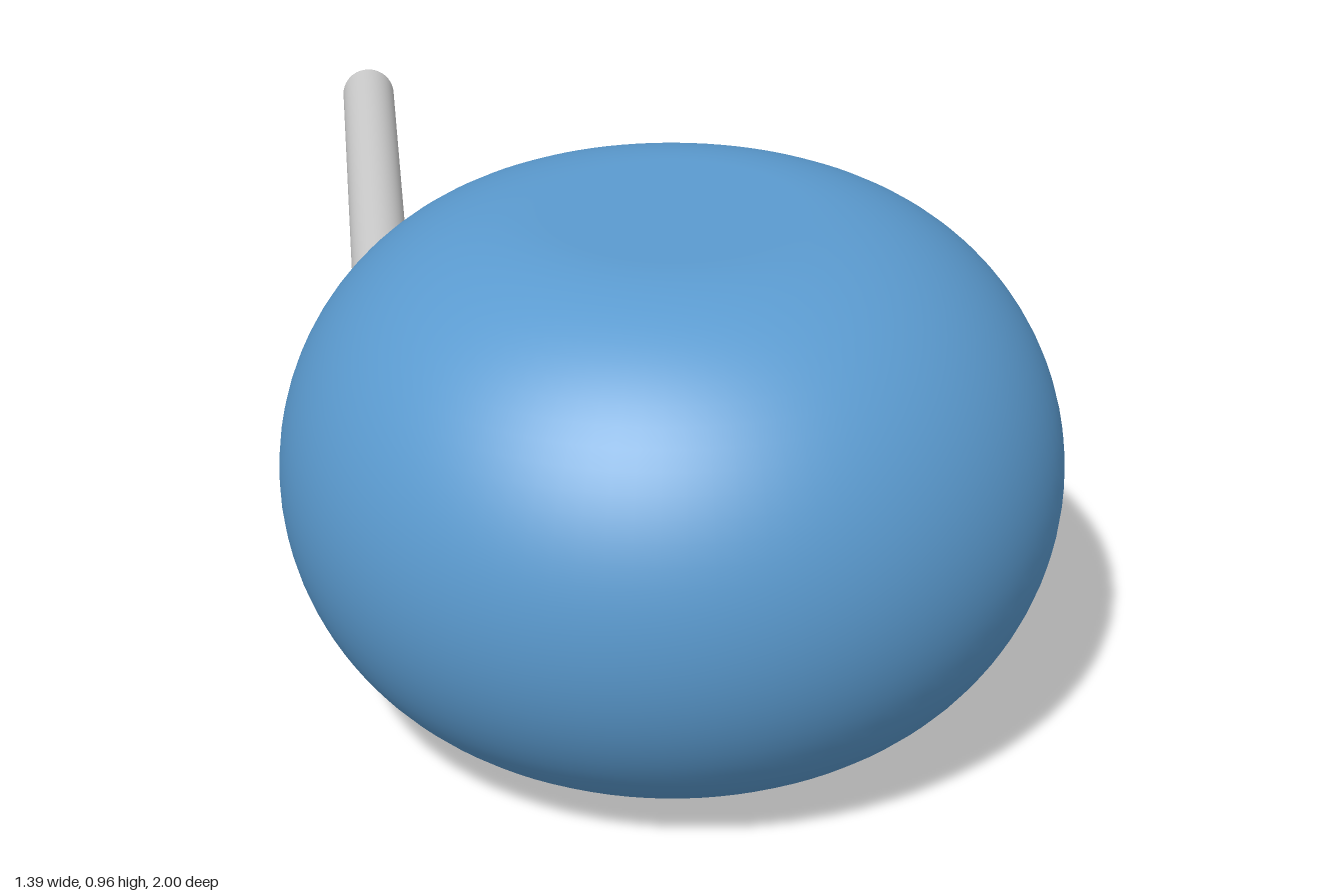
import * as THREE from 'three';

const blue = new THREE.MeshStandardMaterial({ color: 0x5b9bd0 });
const grey = new THREE.MeshStandardMaterial({ color: 0xcccccc });

// Round body with flat top and bottom discs and a fully rounded rim
function makeBody() {
  const flat = 0.23, bulge = 0.465, half = 0.48, steps = 40;
  const profile = [new THREE.Vector2(0, -half)];
  for (let i = 0; i <= steps; i++) {
    const a = -Math.PI / 2 + (Math.PI * i) / steps;
    profile.push(new THREE.Vector2(flat + bulge * Math.cos(a), half * Math.sin(a)));
  }
  profile.push(new THREE.Vector2(0, half));
  const body = new THREE.Mesh(new THREE.LatheGeometry(profile, 96), blue);
  body.name = 'body';
  body.position.set(0, half, 0.3);
  return body;
}

// Straight rod with softly rounded ends, running back along -z
function makeRod(name, x, y) {
  const r = 0.052, fillet = 0.016, length = 1.2, steps = 5;
  const profile = [new THREE.Vector2(0, 0)];
  for (const end of [0, 1]) {
    for (let i = 0; i <= steps; i++) {
      const a = ((i / steps + end - 1) * Math.PI) / 2;
      const centre = end ? length - fillet : fillet;
      profile.push(new THREE.Vector2(r - fillet + fillet * Math.cos(a), centre + fillet * Math.sin(a)));
    }
  }
  profile.push(new THREE.Vector2(0, length));
  const rod = new THREE.Mesh(new THREE.LatheGeometry(profile, 40), grey);
  rod.name = name;
  rod.rotation.x = -Math.PI / 2;
  rod.position.set(x, y, 0.2);
  return rod;
}

export function createModel() {
  const model = new THREE.Group();
  model.name = 'roundBodyWithRods';
  model.add(
    makeBody(),
    makeRod('lowerLeftRod', 0.5, 0.25),
    makeRod('upperRightRod', -0.5, 0.71)
  );
  return model;
}
